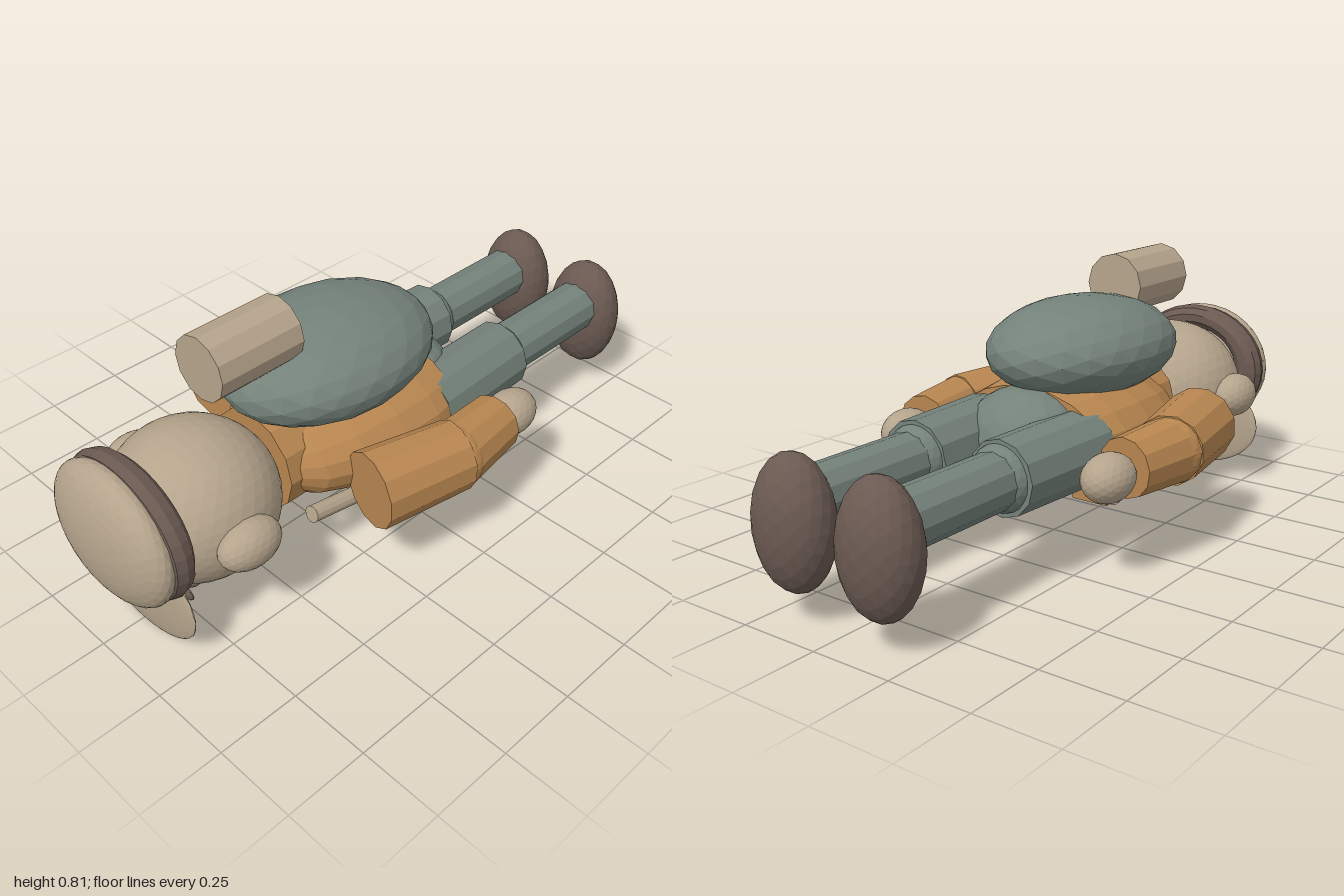
import * as THREE from 'three';

const paint = (name, color) => {
  const m = new THREE.MeshStandardMaterial({ color, flatShading: true });
  m.name = name;
  return m;
};

export function createModel() {
  const model = new THREE.Group();
  model.name = 'lyingTraveller';
  const tan = paint('tan', 0xb5a48c);
  const orange = paint('orange', 0xb88650);
  const green = paint('greyGreen', 0x74827a);
  const brown = paint('darkBrown', 0x6b5a52);

  const add = (name, geometry, material, [x, y, z] = [0, 0, 0]) => {
    const mesh = new THREE.Mesh(geometry, material);
    mesh.name = name;
    mesh.position.set(x, y, z);
    model.add(mesh);
    return mesh;
  };
  // Faceted ellipsoid given by centre and radii
  const blob = (name, material, centre, radii, detail = 3) =>
    add(name, new THREE.IcosahedronGeometry(1, detail).scale(...radii), material, centre);
  // Twelve-sided rod from a to b
  const rod = (name, material, a, b, ra, rb = ra) => {
    const from = new THREE.Vector3(...a), to = new THREE.Vector3(...b);
    const dir = to.clone().sub(from);
    const mesh = add(name, new THREE.CylinderGeometry(rb, ra, dir.length(), 12), material,
      from.clone().add(to).multiplyScalar(0.5).toArray());
    mesh.quaternion.setFromUnitVectors(new THREE.Vector3(0, 1, 0), dir.normalize());
    return mesh;
  };

  // Jacket: lathed along z and flattened, with a collar
  const profile = [[0, -0.13], [0.27, -0.13], [0.29, -0.03], [0.29, 0.1], [0.265, 0.24],
    [0.215, 0.35], [0.14, 0.42], [0, 0.43]].map(p => new THREE.Vector2(...p));
  const jacket = new THREE.LatheGeometry(profile, 20).rotateX(Math.PI / 2).scale(1, 0.59, 1);
  add('jacket', jacket, orange, [0, 0.325, 0]);
  rod('collar', orange, [0, 0.325, 0.33], [0, 0.325, 0.44], 0.16);
  add('zip', new THREE.BoxGeometry(0.015, 0.02, 0.3), green, [0, 0.152, 0.1]);
  blob('hips', green, [0, 0.327, -0.13], [0.2, 0.16, 0.17]);

  // Backpack and bedroll
  blob('backpack', green, [0, 0.56, 0.15], [0.26, 0.15, 0.35]);
  rod('bedroll', tan, [0, 0.718, 0.32], [0, 0.718, 0.6], 0.097);

  // Head and cap
  blob('head', tan, [0, 0.32, 0.66], [0.245, 0.225, 0.245], 6);
  blob('nose', tan, [0, 0.107, 0.66], [0.07, 0.07, 0.07]);
  blob('capCrown', tan, [0, 0.357, 0.915], [0.24, 0.207, 0.085], 5);
  const band = new THREE.TorusGeometry(0.203, 0.047, 10, 32).scale(1, 0.84, 1);
  add('capBand', band, brown, [0, 0.357, 0.867]);
  blob('capBrim', tan, [0, 0.16, 0.86], [0.245, 0.158, 0.02], 5);

  // Paired parts
  for (const s of [1, -1]) {
    blob('ear', tan, [s * 0.25, 0.325, 0.67], [0.065, 0.07, 0.098]);
    blob('eye', brown, [s * 0.085, 0.122, 0.745], [0.02, 0.016, 0.025], 2);
    blob('eyebrow', brown, [s * 0.09, 0.122, 0.787], [0.05, 0.022, 0.01], 2);

    rod('upperArm', orange, [s * 0.325, 0.325, 0.305], [s * 0.388, 0.325, 0.02], 0.115, 0.105);
    blob('elbow', orange, [s * 0.386, 0.325, 0.03], [0.1, 0.1, 0.075]);
    rod('forearm', orange, [s * 0.388, 0.325, 0.05], [s * 0.365, 0.322, -0.175], 0.1, 0.088);
    blob('hand', tan, [s * 0.363, 0.315, -0.25], [0.07, 0.07, 0.092]);

    rod('thigh', green, [s * 0.165, 0.325, -0.08], [s * 0.152, 0.325, -0.45], 0.115, 0.11);
    blob('knee', green, [s * 0.15, 0.325, -0.44], [0.098, 0.098, 0.075]);
    rod('shin', green, [s * 0.15, 0.325, -0.42], [s * 0.15, 0.325, -0.85], 0.083);
    blob('boot', brown, [s * 0.148, 0.275, -0.905], [0.124, 0.19, 0.095]);

    rod('strap', tan, [s * 0.17, 0.185, 0.38], [s * 0.17, 0.125, 0.06], 0.026);
    add('pocket', new THREE.BoxGeometry(0.12, 0.07, 0.095), orange, [s * 0.16, 0.175, 0.005]);
  }
  return model;
}
